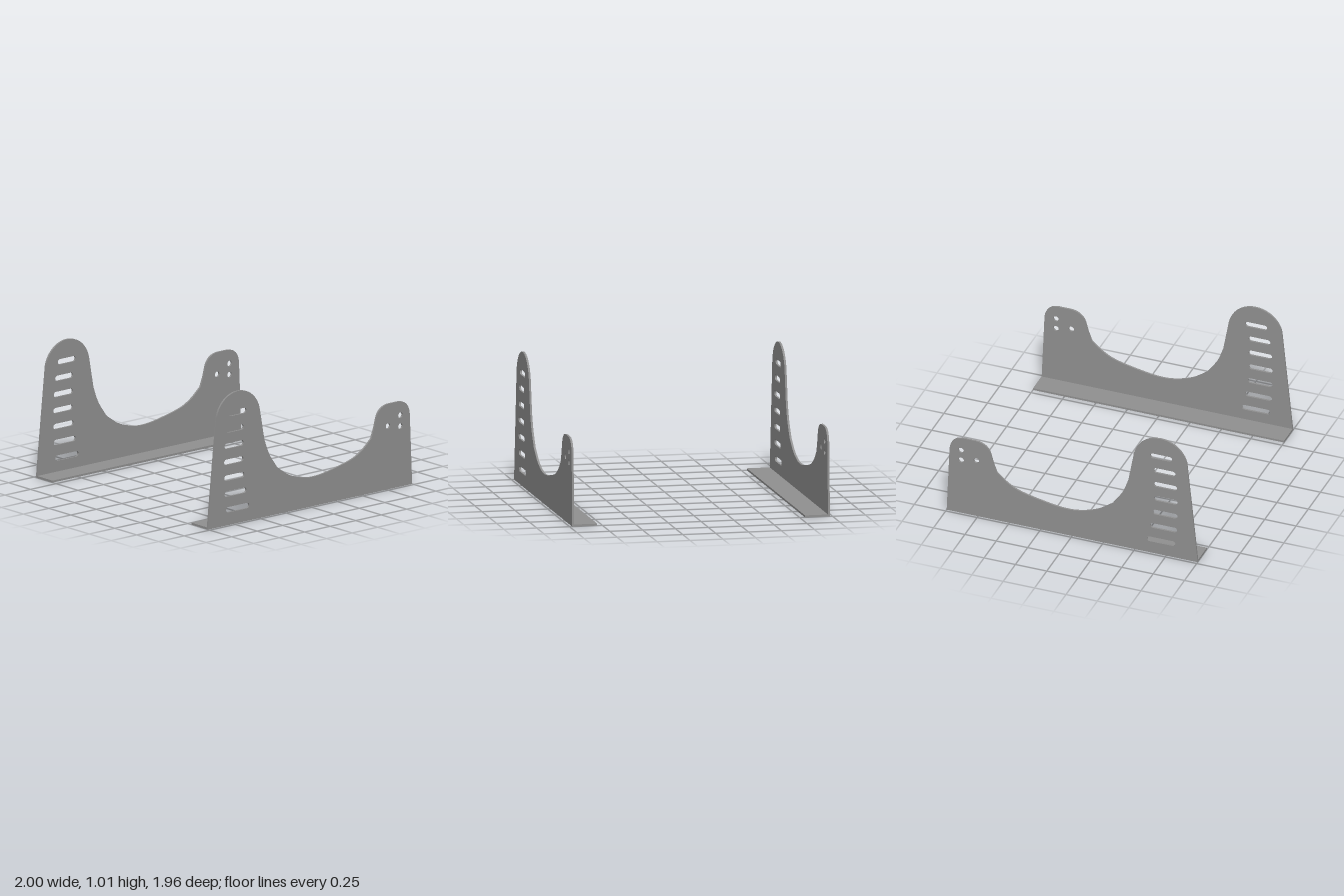
import * as THREE from 'three';
import { toCreasedNormals } from 'three/addons/utils/BufferGeometryUtils.js';

const OUTER = 0.98, THICK = 0.015, FLANGE_INNER = 0.79;

// Horizontal rounded slot
function slot(x0, x1, y, r = 0.021) {
  const p = new THREE.Path();
  p.moveTo(x0 + r, y - r);
  p.lineTo(x1 - r, y - r);
  p.absarc(x1 - r, y, r, -Math.PI / 2, Math.PI / 2, false);
  p.lineTo(x0 + r, y + r);
  p.absarc(x0 + r, y, r, Math.PI / 2, Math.PI * 1.5, false);
  return p;
}

function roundHole(x, y, r = 0.0215) {
  return new THREE.Path().absarc(x, y, r, 0, Math.PI * 2, false);
}

// Side plate outline: tall domed post, scooped cradle, short rounded post
function plateShape() {
  const s = new THREE.Shape();
  const vecs = (pts) => pts.map(([x, y]) => new THREE.Vector2(x, y));
  s.moveTo(-1, 0);
  s.lineTo(1, 0);
  s.lineTo(0.977, 0.545);
  s.bezierCurveTo(0.972, 0.615, 0.93, 0.657, 0.86, 0.657);
  s.lineTo(0.775, 0.657);
  s.bezierCurveTo(0.71, 0.657, 0.665, 0.622, 0.65, 0.57);
  s.lineTo(0.628, 0.49);
  s.lineTo(0.6, 0.418);
  s.splineThru(vecs([[0.51, 0.343], [0.4, 0.29], [0.2, 0.245], [0.06, 0.227],
    [-0.06, 0.235], [-0.2, 0.28], [-0.32, 0.36]]));
  s.splineThru(vecs([[-0.4, 0.478], [-0.448, 0.6]]));
  s.lineTo(-0.492, 0.843);
  s.absarc(-0.703, 0.8, 0.215, 0.2, Math.PI - 0.22, false);
  s.lineTo(-1, 0);

  // Adjustment slots, top to bottom
  [[-0.797, -0.623], [-0.823, -0.65], [-0.836, -0.65], [-0.841, -0.652],
    [-0.84, -0.643], [-0.836, -0.623], [-0.822, -0.595]]
    .forEach(([x0, x1], i) => s.holes.push(slot(x0, x1, 0.854 - i * 0.1227)));
  // Mounting holes
  [[0.763, 0.487], [0.885, 0.549], [0.885, 0.464]]
    .forEach(([x, y]) => s.holes.push(roundHole(x, y)));
  return s;
}

export function createModel() {
  const model = new THREE.Group();
  const mat = new THREE.MeshStandardMaterial({ color: 0x909090 });
  const plateGeo = toCreasedNormals(new THREE.ExtrudeGeometry(plateShape(),
    { depth: THICK, bevelEnabled: false, curveSegments: 16 }), 0.5);
  plateGeo.translate(0, 0, -THICK / 2);
  const flangeDepth = OUTER - THICK - FLANGE_INNER;
  const flangeGeo = new THREE.BoxGeometry(2, THICK, flangeDepth);

  // Facing pair of brackets, flanges turned inward
  for (const [side, name] of [[1, 'frontBracket'], [-1, 'backBracket']]) {
    const bracket = new THREE.Group();
    bracket.name = name;
    const plate = new THREE.Mesh(plateGeo, mat);
    plate.name = 'sidePlate';
    plate.position.z = side * (OUTER - THICK / 2);
    const flange = new THREE.Mesh(flangeGeo, mat);
    flange.name = 'baseFlange';
    flange.position.set(0, THICK / 2, side * (FLANGE_INNER + flangeDepth / 2));
    bracket.add(plate, flange);
    model.add(bracket);
  }
  return model;
}
